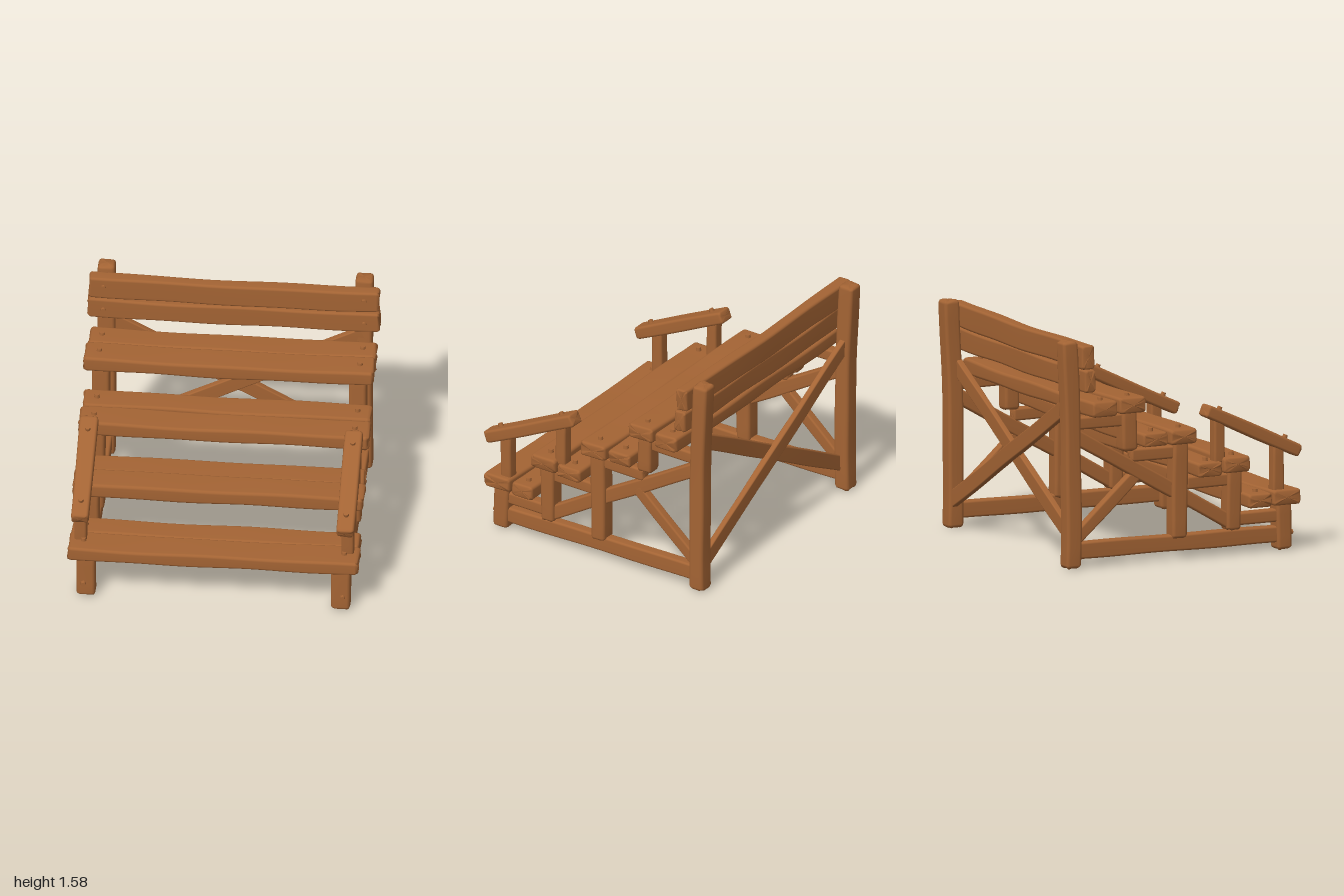
import * as THREE from 'three';

const wood = new THREE.MeshStandardMaterial({ color: 0xa46434 });
wood.name = 'warm brown wood';

let seed = 7;
const rand = () => {
  seed = (seed * 16807) % 2147483647;
  return seed / 2147483647;
};

// Hand-hewn timber lofted along y: rounded section a (x) by b (z), wavy faces, uneven ends
function timberGeometry(length, a, b, bow, rough) {
  const r = Math.min(a, b) * 0.2;
  const n = Math.max(4, Math.round(length / 0.12));
  const stations = [[0, 1], [0, r * 0.7], [r * 0.35, r * 0.2], [r, 0]];
  for (let i = 1; i < n; i++) stations.push([r + (length - 2 * r) * i / n, 0]);
  stations.push([length - r, 0], [length - r * 0.35, r * 0.2], [length, r * 0.7], [length, 1]);

  // Section outline: corner centre signs plus arc direction
  const outline = [];
  [[1, 1], [-1, 1], [-1, -1], [1, -1]].forEach(([sx, sz], q) => {
    for (let k = 0; k < 4; k++) {
      const t = (q + k / 3) * Math.PI / 2;
      outline.push([sx, sz, Math.cos(t), Math.sin(t)]);
    }
  });
  const m = outline.length;
  const phase = Array.from({ length: 4 }, () => rand() * 6.28);
  const wave = (y, k) => rough * Math.sin(y * (4 + k * 1.3) + phase[k]);
  const jag = [0, 1].map(() => outline.map(() => (rand() - 0.5) * rough * 3));
  const pos = [], index = [];
  stations.forEach(([y, inset], i) => {
    const t = y / length, off = bow * 4 * t * (1 - t);
    const end = i < 3 ? 0 : i >= stations.length - 3 ? 1 : -1;
    outline.forEach(([sx, sz, cx, cz], j) => {
      const scale = inset === 1 ? 0 : 1;
      const d = scale ? inset : 0;
      const ha = a / 2 + wave(y, sx > 0 ? 0 : 1) * 0.7 - d;
      const hb = b / 2 + wave(y, sz > 0 ? 2 : 3) * 0.7 - d;
      pos.push(scale * (sx * (ha - r) + r * cx),
        y - length / 2 + (end >= 0 && scale ? jag[end][j] : 0),
        scale * (sz * (hb - r) + r * cz) + off);
      if (i < stations.length - 1) {
        const p = i * m + j, q = i * m + (j + 1) % m;
        index.push(p, p + m, q, q, p + m, q + m);
      }
    });
  });
  const g = new THREE.BufferGeometry();
  g.setAttribute('position', new THREE.Float32BufferAttribute(pos, 3));
  g.setIndex(index);
  g.computeVertexNormals();
  return g;
}

const X = new THREE.Vector3(1, 0, 0), Z = new THREE.Vector3(0, 0, 1);

export function createModel() {
  const model = new THREE.Group();
  model.name = 'steppedBench';

  // Timber from one point to another; "side" is the direction of size a
  function timber(name, from, to, a, b, { side = X, bow = 0, rough = 0.003 } = {}) {
    const p = new THREE.Vector3(...from), q = new THREE.Vector3(...to);
    const dir = q.clone().sub(p), length = dir.length();
    dir.normalize();
    const mesh = new THREE.Mesh(timberGeometry(length, a, b, bow, rough), wood);
    mesh.name = name;
    mesh.quaternion.setFromRotationMatrix(
      new THREE.Matrix4().makeBasis(side, dir, side.clone().cross(dir)));
    mesh.position.copy(p).add(q).multiplyScalar(0.5);
    model.add(mesh);
  }

  function peg(x, y, z, tilt = 0) {
    const mesh = new THREE.Mesh(new THREE.CylinderGeometry(0.016, 0.022, 0.04, 8), wood);
    mesh.name = 'peg';
    mesh.position.set(x, y, z);
    mesh.rotation.x = tilt;
    model.add(mesh);
  }

  // Step and seat planks: [zFront, zBack, yBottom, yTop]
  const planks = [
    [0.885, 0.675, 0.32, 0.42], [0.67, 0.495, 0.31, 0.41],
    [0.5, 0.3, 0.575, 0.685], [0.295, 0.105, 0.56, 0.66],
    [0.095, -0.11, 0.8, 0.905], [-0.125, -0.31, 0.8, 0.9],
    [-0.295, -0.5, 1.05, 1.155], [-0.51, -0.695, 1.035, 1.14],
  ];
  planks.forEach(([z0, z1, y0, y1], i) => {
    const y = (y0 + y1) / 2, z = (z0 + z1) / 2, half = i % 2 ? 0.98 : 0.99;
    timber(i % 2 ? 'rearStepPlank' : 'frontStepPlank', [-half, y, z], [half, y, z],
      z0 - z1, y1 - y0, { side: Z, bow: -0.006, rough: 0.005 });
    for (const s of [-1, 1]) peg(s * 0.89, y1, z);
  });

  // Backrest planks
  timber('upperBackPlank', [-0.99, 1.463, -0.74], [0.99, 1.463, -0.74], 0.09, 0.165,
    { side: Z, bow: -0.015, rough: 0.005 });
  timber('lowerBackPlank', [-0.995, 1.295, -0.728], [0.995, 1.295, -0.728], 0.085, 0.15,
    { side: Z, bow: -0.008, rough: 0.005 });

  for (const s of [-1, 1]) {
    const x = s * 0.875;
    // Uprights
    timber('rearPost', [x, 0, -0.82], [x + s * 0.005, 1.57, -0.85], 0.12, 0.115, { bow: 0.015 });
    timber('frontLeg', [x - s * 0.005, 0, 0.795], [x - s * 0.005, 0.34, 0.785], 0.13, 0.115);
    timber('secondStepPost', [x, 0.165, 0.405], [x, 0.6, 0.41], 0.12, 0.105);
    timber('thirdStepPost', [x, 0.14, -0.01], [x, 0.82, 0], 0.12, 0.115);
    timber('topStepPost', [x, 0.78, -0.39], [x, 1.07, -0.395], 0.12, 0.11);

    // Side rails and diagonals
    timber('baseRail', [x, 0.105, 0.77], [x, 0.115, -0.8], 0.08, 0.115);
    const bearers = [[0.77, 0.4, 0.235], [0.41, 0.05, 0.515], [0, -0.37, 0.74], [-0.4, -0.8, 0.995]];
    for (const [z0, z1, y] of bearers) {
      timber('stepBearer', [x, y, z0], [x, y, z1], 0.08, 0.088, { rough: 0.002 });
    }
    timber('sideStringer', [x, 0.22, 0.39], [x, 0.91, -0.8], 0.07, 0.1);
    timber('sideBrace', [x, 0.62, -0.31], [x, 0.19, -0.79], 0.065, 0.085);

    // Armrest
    timber('frontArmPost', [s * 0.91, 0.4, 0.735], [s * 0.91, 0.74, 0.735], 0.085, 0.085);
    timber('rearArmPost', [s * 0.91, 0.64, 0.285], [s * 0.91, 0.97, 0.28], 0.085, 0.08);
    timber('armrest', [s * 0.905, 0.675, 0.895], [s * 0.905, 1.01, 0.185], 0.122, 0.09);
    peg(s * 0.905, 0.77, 0.8, 0.44);
    peg(s * 0.905, 1.006, 0.3, 0.44);

    // Pegs on the backrest and leg fronts
    peg(s * 0.89, 1.475, -0.7, Math.PI / 2);
    peg(s * 0.89, 1.29, -0.69, Math.PI / 2);
    peg(s * 0.885, 0.11, 0.85, Math.PI / 2);

    // Crossed back braces
    const z = s > 0 ? -0.795 : -0.83;
    timber('backCrossBrace', [-s * 0.88, 0.175, z], [s * 0.88, 1.13, z], 0.045, 0.11, { side: Z });
  }
  return model;
}
